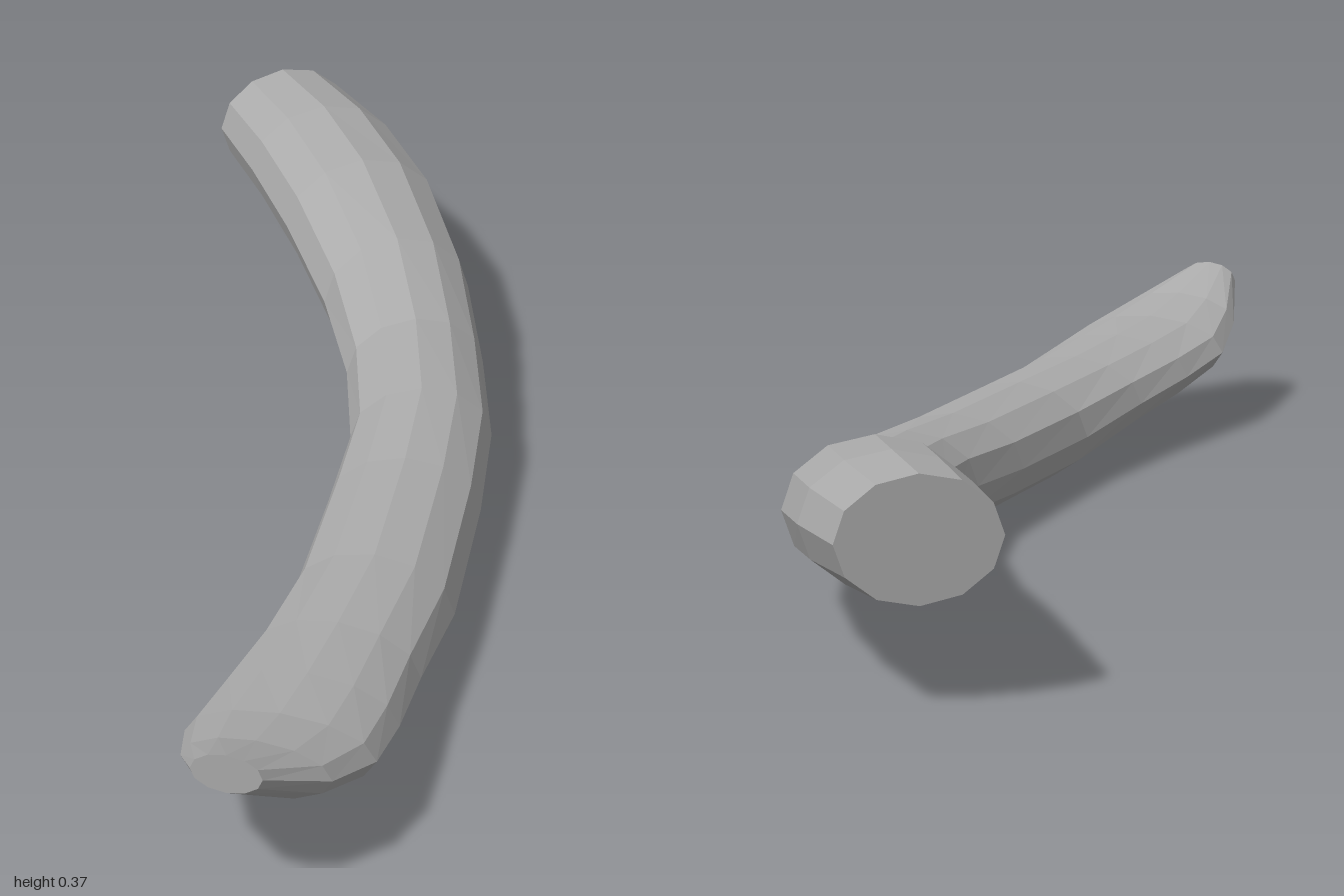
import * as THREE from 'three';

const SIDES = 12;

// Cross-sections from thick end to tip: inner x, inner z, outer x, outer z, top y, bottom y
const SECTIONS = [
  [0.765, -0.80, 1.0, -0.69, 0.365, 0.165],
  [0.68, -0.65, 0.925, -0.50, 0.362, 0.14],
  [0.57, -0.47, 0.82, -0.315, 0.34, 0.108],
  [0.45, -0.28, 0.67, -0.12, 0.285, 0.06],
  [0.32, -0.12, 0.51, 0.04, 0.228, 0.034],
  [0.165, 0.016, 0.33, 0.20, 0.203, 0.016],
  [-0.02, 0.12, 0.12, 0.34, 0.187, 0.005],
  [-0.29, 0.27, -0.18, 0.52, 0.18, 0.0],
  [-0.50, 0.365, -0.40, 0.625, 0.185, 0.033],
  [-0.67, 0.43, -0.56, 0.71, 0.195, 0.06],
  [-0.81, 0.487, -0.69, 0.77, 0.207, 0.09],
  [-0.91, 0.567, -0.82, 0.79, 0.232, 0.135],
  [-1.0, 0.665, -0.957, 0.77, 0.275, 0.21],
];

// Elliptical ring for one cross-section
function ring([ix, iz, ox, oz, top, bottom]) {
  return Array.from({ length: SIDES }, (_, j) => {
    const a = (j / SIDES) * Math.PI * 2;
    const c = Math.cos(a) / 2;
    return [
      (ix + ox) / 2 + (ox - ix) * c,
      (top + bottom) / 2 + ((top - bottom) / 2) * Math.sin(a),
      (iz + oz) / 2 + (oz - iz) * c,
    ];
  });
}

function mesh(name, triangles, material) {
  const geometry = new THREE.BufferGeometry();
  geometry.setAttribute('position', new THREE.Float32BufferAttribute(triangles.flat(), 3));
  geometry.computeVertexNormals();
  const result = new THREE.Mesh(geometry, material);
  result.name = name;
  return result;
}

export function createModel() {
  const group = new THREE.Group();
  group.name = 'curvedHorn';
  const grey = new THREE.MeshStandardMaterial({ color: 0xaaaaaa });
  grey.name = 'grey';

  const rings = SECTIONS.map(ring);
  const last = rings[rings.length - 1];

  // Curved, faceted body
  const body = [];
  for (let i = 0; i < rings.length - 1; i++) {
    for (let j = 0; j < SIDES; j++) {
      const k = (j + 1) % SIDES;
      const a = rings[i][j], b = rings[i][k], c = rings[i + 1][j], d = rings[i + 1][k];
      body.push(a, b, c, b, d, c);
    }
  }

  // Flat end faces
  const base = [], tip = [];
  for (let j = 1; j < SIDES - 1; j++) {
    base.push(rings[0][0], rings[0][j + 1], rings[0][j]);
    tip.push(last[0], last[j], last[j + 1]);
  }

  group.add(mesh('body', body, grey), mesh('baseCap', base, grey), mesh('tipCap', tip, grey));
  return group;
}
